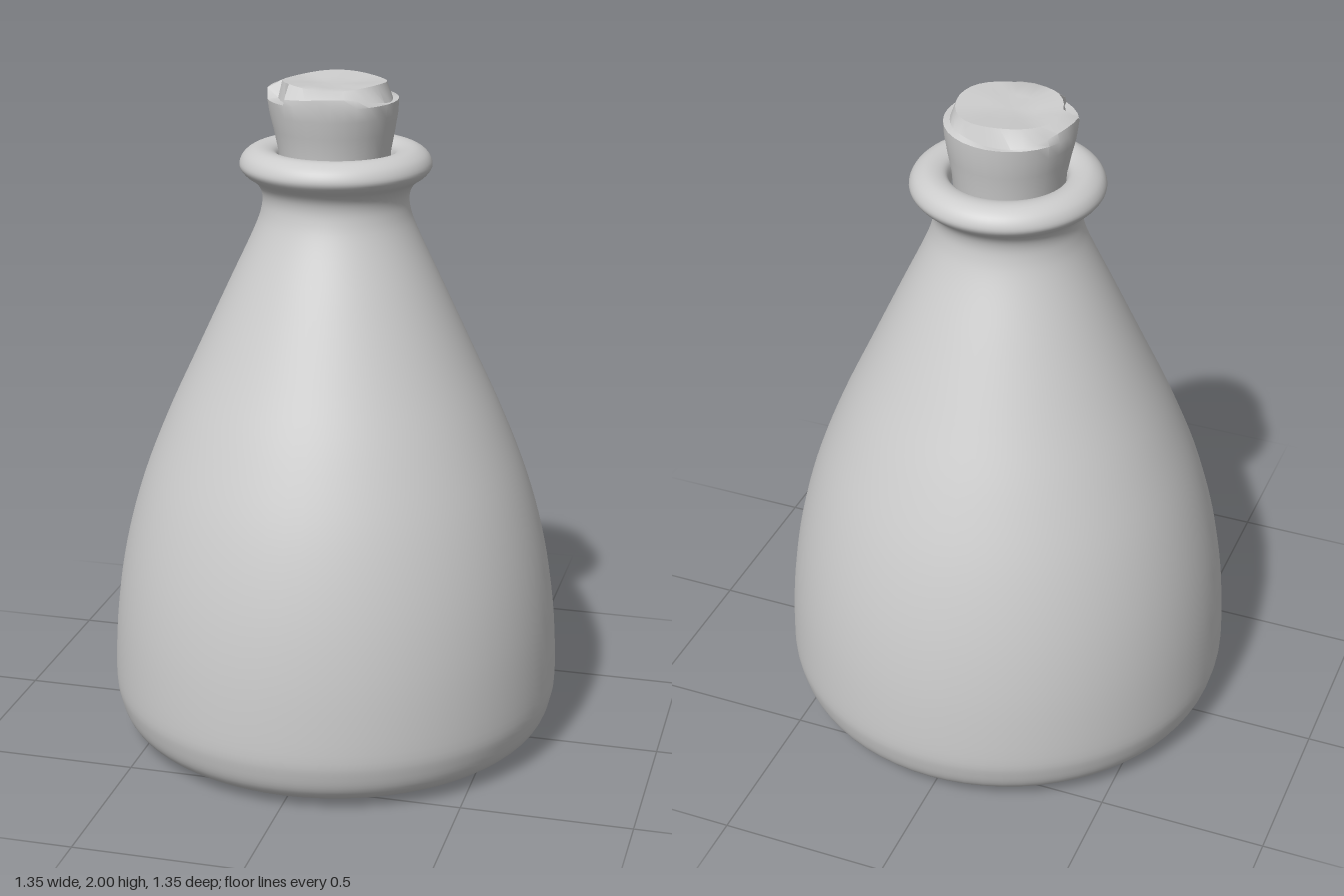
import * as THREE from 'three';
import { mergeVertices, toCreasedNormals } from 'three/addons/utils/BufferGeometryUtils.js';

const vec = (pts) => pts.map(([x, y]) => new THREE.Vector2(x, y));

// Bottle: one smooth turned profile, from under the base up to inside the mouth
function bottleGeometry() {
  const curve = new THREE.SplineCurve(vec([
    [0, 0.025], [0.25, 0.02], [0.44, 0.006], [0.52, 0.004], [0.59, 0.022], [0.64, 0.06], [0.665, 0.12],
    [0.674, 0.2], [0.663, 0.4], [0.632, 0.6], [0.578, 0.8], [0.5, 1.0], [0.408, 1.2],
    [0.315, 1.4], [0.24, 1.56], [0.216, 1.63], [0.215, 1.675], [0.233, 1.708],
    [0.265, 1.732], [0.279, 1.757], [0.266, 1.787], [0.235, 1.806], [0.2, 1.806],
    [0.172, 1.79], [0.16, 1.75],
  ]));
  const profile = curve.getPoints(110);
  profile.forEach((p) => { p.x = Math.max(p.x, 0); });
  return new THREE.LatheGeometry(profile, 72);
}

// Cork: a tapered plug, worn round on one side and sharp and chipped on the other
function corkGeometry() {
  const lathe = new THREE.LatheGeometry(vec([
    [0, 1.7], [0.155, 1.7], [0.163, 1.8], [0.175, 1.86], [0.185, 1.91], [0.189, 1.95],
    [0.187, 1.982], [0.15, 1.997], [0.08, 1.992], [0, 1.988],
  ]), 32);
  lathe.deleteAttribute('uv');
  lathe.deleteAttribute('normal');
  const geo = mergeVertices(lathe, 1e-4);
  const pos = geo.attributes.position;
  for (let i = 0; i < pos.count; i++) {
    let x = pos.getX(i), y = pos.getY(i), z = pos.getZ(i);
    const r = Math.hypot(x, z);
    const a = Math.atan2(z, x);
    const side = r > 0.01 ? (z - x) / (r * Math.SQRT2) : 0;
    const worn = (1 - side) / 2;
    if (y > 1.97 && r > 0.17) {
      // rim of the top face
      const s = 1.03 - 0.14 * worn + 0.012 * Math.sin(a * 5);
      x *= s; z *= s;
      y -= 0.022 * worn + 0.008 * (1 + Math.sin(a * 3 + 1));
      // chip in the sharp edge
      if (Math.abs(a - 2.55) < 0.3) { x *= 0.84; z *= 0.84; y -= 0.02; }
    } else if (y > 1.97) {
      // shallow dents in the top face
      y += 0.004 * Math.sin(a * 3 + 0.5) * (r / 0.15);
    } else if (y > 1.84) {
      const s = 1 + 0.025 * side * (y - 1.84) / 0.1;
      x *= s; z *= s;
    }
    pos.setXYZ(i, x - 0.003, y, z + 0.003);
  }
  return toCreasedNormals(geo, 0.6);
}

export function createModel() {
  const grey = new THREE.MeshStandardMaterial({ color: 0xcccccc });
  grey.name = 'plain grey';

  const model = new THREE.Group();
  model.name = 'corkedBottle';
  const addPart = (name, geometry) => {
    const mesh = new THREE.Mesh(geometry, grey);
    mesh.name = name;
    model.add(mesh);
  };
  addPart('bottle', bottleGeometry());
  addPart('cork', corkGeometry());
  return model;
}
